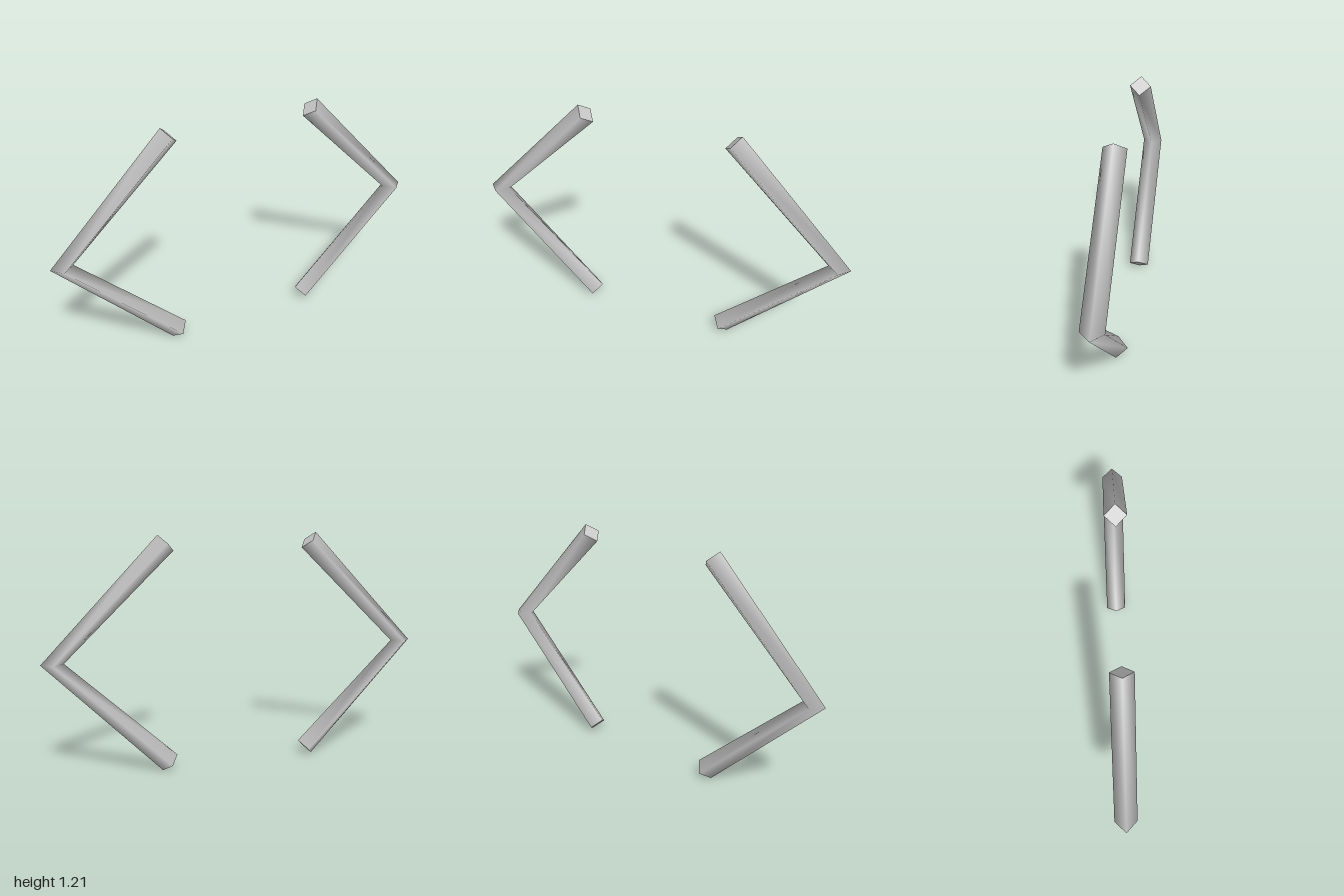
import * as THREE from 'three';

const RADIUS = 0.055;

// Four-sided bar swept along a bent path in the xy plane, smooth sides, flat ends.
function bentBar(stations) {
  const pos = [], nor = [], idx = [];
  const ring = (s, capSign) => {
    const t = new THREE.Vector2(s.tx, s.ty).normalize();
    for (let i = 0; i < 4; i++) {
      const c = Math.cos(i * Math.PI / 2), k = Math.sin(i * Math.PI / 2);
      const n = [-t.y * c, t.x * c, k];
      pos.push(s.x + n[0] * RADIUS, s.y + n[1] * RADIUS, n[2] * RADIUS);
      if (capSign) nor.push(t.x * capSign, t.y * capSign, 0);
      else nor.push(...n);
    }
  };
  // sides
  stations.forEach((s) => ring(s, 0));
  for (let j = 0; j < stations.length - 1; j++) {
    for (let i = 0; i < 4; i++) {
      const k = (i + 1) % 4;
      const a = j * 4 + i, b = j * 4 + k, c = b + 4, d = a + 4;
      idx.push(a, b, d, b, c, d);
    }
  }
  // end caps
  const base = stations.length * 4;
  ring(stations[0], -1);
  ring(stations[stations.length - 1], 1);
  idx.push(base, base + 2, base + 1, base, base + 3, base + 2);
  idx.push(base + 4, base + 5, base + 6, base + 4, base + 6, base + 7);

  const g = new THREE.BufferGeometry();
  g.setAttribute('position', new THREE.Float32BufferAttribute(pos, 3));
  g.setAttribute('normal', new THREE.Float32BufferAttribute(nor, 3));
  g.setIndex(idx);
  return g;
}

export function createModel() {
  const group = new THREE.Group();
  group.name = 'chevronPair';
  const grey = new THREE.MeshStandardMaterial({ color: 0xcccccc });
  grey.name = 'light grey';

  // bottom end, elbow, top end
  const geometry = bentBar([
    { x: -0.379, y: 0.039, tx: -1, ty: 1 },
    { x: -0.945, y: 0.605, tx: 0, ty: 1 },
    { x: -0.379, y: 1.171, tx: 1, ty: 1 },
  ]);

  // the second chevron is the first turned half round
  ['rightChevron', 'leftChevron'].forEach((name, i) => {
    const mesh = new THREE.Mesh(geometry, grey);
    mesh.name = name;
    mesh.rotation.y = i * Math.PI;
    group.add(mesh);
  });
  return group;
}
